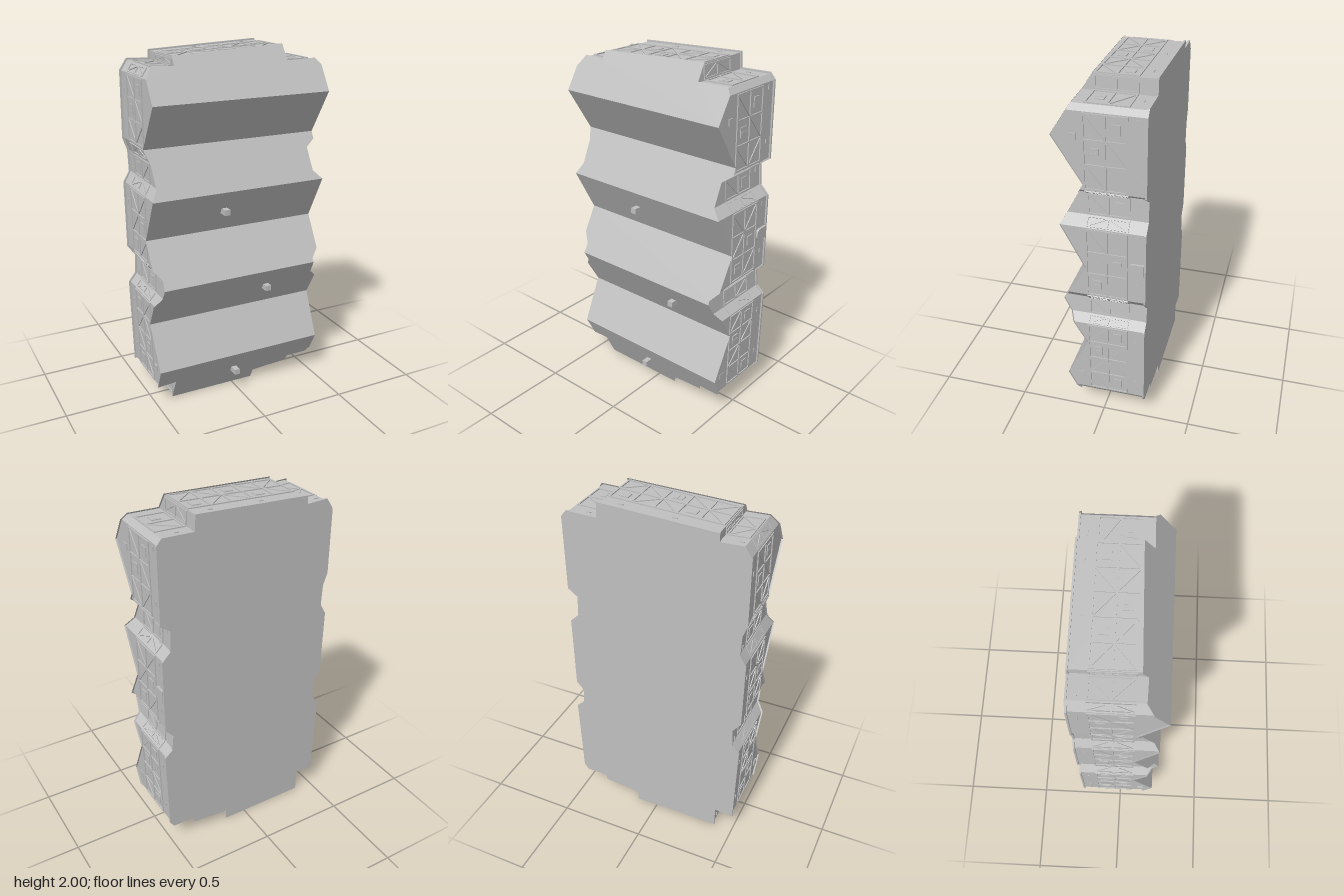
import * as THREE from 'three';
import { mergeGeometries } from 'three/addons/utils/BufferGeometryUtils.js';

// Floor plan outline, clockwise seen from the front
const OUTLINE = [
  [-0.35, 1.97], [0.3, 2], [0.305, 1.915], [0.48, 1.92], [0.51, 1.885], [0.51, 1.46], [0.455, 1.42],
  [0.46, 1.3], [0.51, 1.25], [0.51, 0.82], [0.465, 0.77], [0.475, 0.675], [0.52, 0.635], [0.51, 0.15],
  [0.485, 0.115], [0.355, 0.115], [0.35, 0.08], [0.13, 0.06], [0.13, 0], [-0.39, 0.003], [-0.39, 0.135],
  [-0.5, 0.125], [-0.515, 0.64], [-0.475, 0.69], [-0.47, 0.8], [-0.515, 0.86], [-0.52, 1.25],
  [-0.485, 1.31], [-0.49, 1.43], [-0.515, 1.5], [-0.515, 1.87], [-0.475, 1.93], [-0.35, 1.925],
].map(([x, y]) => new THREE.Vector2(x, y));

// Roof height (z) at every quarter: valley, ridge, valley ...
const RIDGES = [0.083, 0.205, 0.083, 0.225, 0.083, 0.213, 0.083, 0.24, 0.083];
const BACK = -0.23;

function roofZ(y) {
  const s = THREE.MathUtils.clamp(y / 0.25, 0, 7.9999);
  const i = Math.floor(s);
  return THREE.MathUtils.lerp(RIDGES[i], RIDGES[i + 1], s - i);
}

// Mitred inset of the outline
function inset(points, amount) {
  const n = points.length;
  const normal = (a, b) => new THREE.Vector2(a.y - b.y, b.x - a.x).normalize();
  return points.map((p, i) => {
    const n1 = normal(points[(i + n - 1) % n], p);
    const n2 = normal(p, points[(i + 1) % n]);
    return p.clone().addScaledVector(n1.clone().add(n2), -amount / (1 + n1.dot(n2)));
  });
}

// Keep the part of a polygon on one side of a horizontal line
function clip(points, y, sign) {
  const out = [];
  points.forEach((a, i) => {
    const b = points[(i + 1) % points.length];
    const da = (a.y - y) * sign, db = (b.y - y) * sign;
    if (da >= 0) out.push(a.clone());
    if (da * db < 0) out.push(a.clone().lerp(b, da / (da - db)));
  });
  return out;
}

function box(w, h, d, x, y, z, turn = 0) {
  return new THREE.BoxGeometry(w, h, d).rotateZ(turn).translate(x, y, z);
}

// One wall face following the roof line, split where ridges and valleys cross it
function wallFace(a, b) {
  const stops = [0, 1];
  for (let y = 0.25; y < 2; y += 0.25) {
    const t = (y - a.y) / (b.y - a.y);
    if (t > 0 && t < 1) stops.push(t);
  }
  stops.sort((p, q) => p - q);
  const pos = [];
  for (let i = 0; i < stops.length - 1; i++) {
    const p = a.clone().lerp(b, stops[i]), q = a.clone().lerp(b, stops[i + 1]);
    const zp = roofZ(p.y), zq = roofZ(q.y);
    pos.push(p.x, p.y, BACK, q.x, q.y, zq, q.x, q.y, BACK);
    pos.push(p.x, p.y, BACK, p.x, p.y, zp, q.x, q.y, zq);
  }
  const g = new THREE.BufferGeometry();
  g.setAttribute('position', new THREE.Float32BufferAttribute(pos, 3));
  g.computeVertexNormals();
  return g;
}

// Local wall frame: x along the wall, y up the wall, z outward
function wallMatrix(a, b) {
  const d = b.clone().sub(a).normalize();
  const along = new THREE.Vector3(-d.x, -d.y, 0);
  const up = new THREE.Vector3(0, 0, 1);
  const out = new THREE.Vector3(-d.y, d.x, 0);
  return new THREE.Matrix4().makeBasis(along, up, out)
    .setPosition((a.x + b.x) / 2, (a.y + b.y) / 2, 0);
}

// Two storeys of timber framing with braces and windows
function timberWall(length, seed, beams, windows) {
  const rows = [-0.14, -0.032, 0.076];
  const span = length - 0.02;
  const cells = Math.max(1, Math.round(span / 0.12));
  const w = span / cells, h = 0.108, t = 0.006;
  for (const v of rows) beams.push(box(span + 0.008, 0.008, t, 0, v, 0.003));
  for (let i = 0; i <= cells; i++) beams.push(box(0.008, 0.216, t, -span / 2 + i * w, -0.032, 0.003));
  for (let r = 0; r < 2; r++) {
    for (let i = 0; i < cells; i++) {
      const u = -span / 2 + (i + 0.5) * w, v = rows[r] + h / 2;
      if (w > 0.075 && (i + r + seed) % 3 === 0) {
        windows.push(box(0.054, 0.047, 0.005, u, v, 0.0025));
        if (r) windows.push(box(0.003, 0.047, 0.007, u, v, 0.0035));
      } else {
        const slope = (i + r + seed) % 2 ? 1 : -1;
        beams.push(box(Math.hypot(w, h) - 0.01, 0.007, 0.005, u, v, 0.0025, slope * Math.atan2(h, w)));
      }
    }
  }
  // narrow ground floor openings
  if (length > 0.1) {
    for (let u = -span / 2 + 0.09; u < span / 2; u += 0.29) windows.push(box(0.025, 0.006, 0.005, u, -0.19, 0.0025));
  }
}

export function createModel() {
  const group = new THREE.Group();
  const stone = new THREE.MeshStandardMaterial({ color: 0xc0c0c0 });
  stone.name = 'light grey';
  const sheet = new THREE.MeshStandardMaterial({ color: 0xc0c0c0, side: THREE.DoubleSide });
  sheet.name = 'light grey sheet';
  const add = (name, geometry, material = stone) => {
    const mesh = new THREE.Mesh(geometry, material);
    mesh.name = name;
    group.add(mesh);
    return mesh;
  };

  // Foundation slab
  const slab = new THREE.ExtrudeGeometry(new THREE.Shape(OUTLINE), { depth: 0.01, bevelEnabled: false });
  add('foundation', slab.translate(0, 0, -0.24));

  // Folded roof, one slope per quarter
  for (let i = 0; i < 8; i++) {
    const part = clip(clip(OUTLINE, i * 0.25, 1), (i + 1) * 0.25, -1);
    const g = new THREE.ShapeGeometry(new THREE.Shape(part)).toNonIndexed();
    const p = g.attributes.position;
    for (let k = 0; k < p.count; k++) p.setZ(k, roofZ(p.getY(k)));
    g.computeVertexNormals();
    add('roofSlope' + (i + 1), g, sheet);
  }

  // Walls set back under the eaves, with their framing
  const plan = inset(OUTLINE, 0.009);
  const walls = [], beams = [], windows = [];
  plan.forEach((a, i) => {
    const b = plan[(i + 1) % plan.length];
    walls.push(wallFace(a, b));
    const length = a.distanceTo(b);
    if (length < 0.04) return;
    const wallBeams = [], wallWindows = [];
    timberWall(length, i, wallBeams, wallWindows);
    const m = wallMatrix(a, b);
    beams.push(...wallBeams.map((g) => g.applyMatrix4(m)));
    windows.push(...wallWindows.map((g) => g.applyMatrix4(m)));
  });
  add('walls', mergeGeometries(walls), sheet);
  add('timberFrame', mergeGeometries(beams));

  // Small attic windows in the end gables
  for (const y of [0.25, 1.75]) {
    for (const s of [-1, 1]) windows.push(box(0.008, 0.035, 0.035, s * 0.502, y, 0.13));
  }
  add('windows', mergeGeometries(windows));

  // Chimneys
  for (const [x, y] of [[-0.085, 1.13], [0.18, 0.63], [-0.02, 0.13]]) {
    add('chimney', box(0.032, 0.032, 0.08, x, y, 0.16));
  }

  // Arched doorway on the side wall
  const arch = new THREE.Shape();
  arch.moveTo(-0.034, 0);
  arch.lineTo(0.034, 0);
  arch.lineTo(0.034, 0.06);
  arch.quadraticCurveTo(0.03, 0.085, 0, 0.085);
  arch.quadraticCurveTo(-0.03, 0.085, -0.034, 0.06);
  const door = new THREE.ExtrudeGeometry(arch, { depth: 0.014, bevelEnabled: false, curveSegments: 4 });
  door.applyMatrix4(wallMatrix(new THREE.Vector2(0.5, 1.3), new THREE.Vector2(0.5, 0.77)));
  add('doorway', door.translate(0, 0, BACK));

  return group;
}
